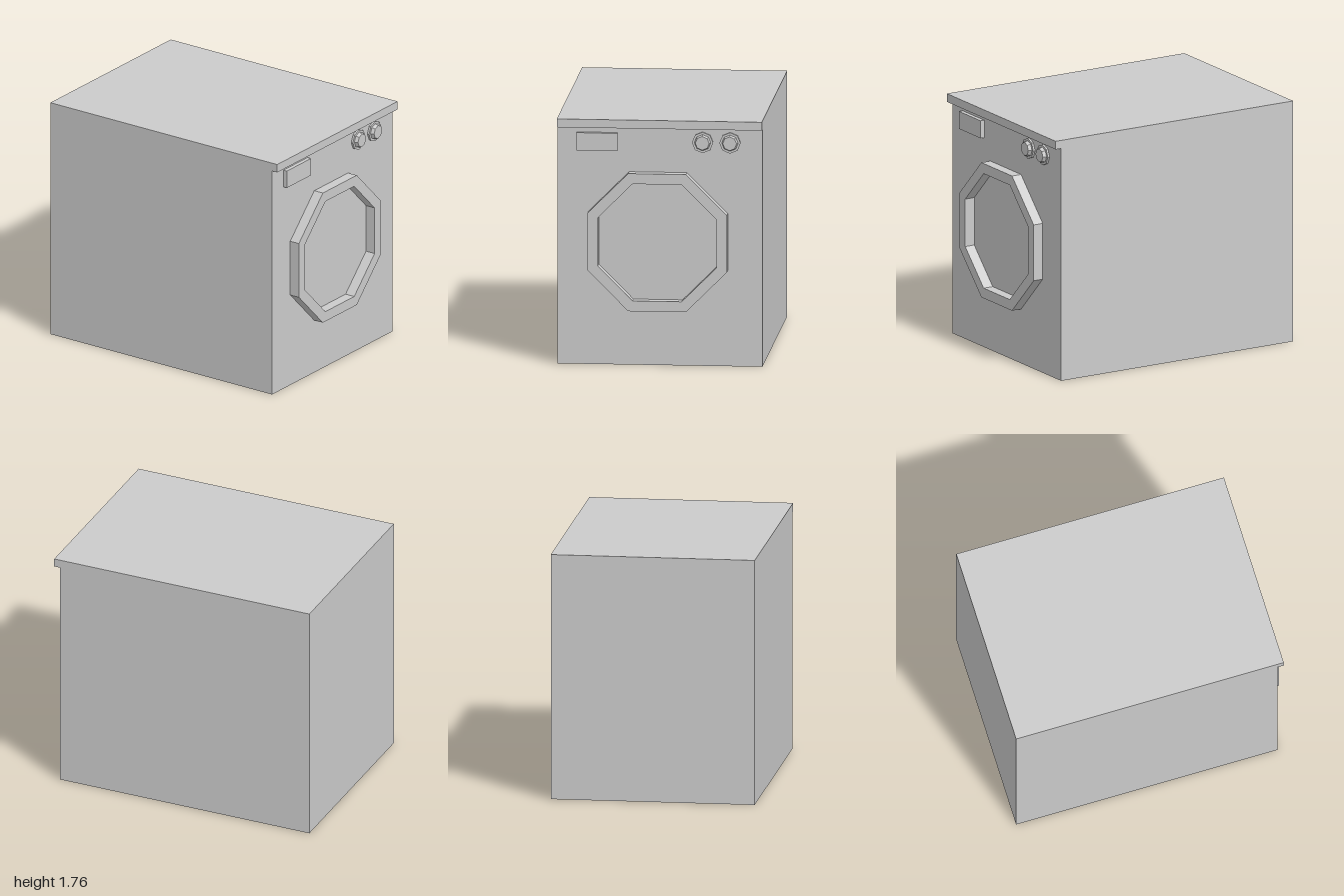
import * as THREE from 'three';

const material = new THREE.MeshStandardMaterial({ color: 0xcccccc, flatShading: true });
const FRONT = 0.925; // z of the cabinet's front face

function add(parent, name, geometry, x = 0, y = 0, z = 0) {
  const mesh = new THREE.Mesh(geometry, material);
  mesh.name = name;
  mesh.position.set(x, y, z);
  parent.add(mesh);
  return mesh;
}

// Regular octagon given by the distance from its centre to a flat side
function octagon(apothem) {
  const r = apothem / Math.cos(Math.PI / 8);
  return Array.from({ length: 8 }, (_, i) => {
    const a = (i + 0.5) * Math.PI / 4;
    return new THREE.Vector2(r * Math.cos(a), r * Math.sin(a));
  });
}

// Eight-sided disc facing +z, with its back at z = 0 and a corner at the top
function disc(backRadius, frontRadius, depth) {
  return new THREE.CylinderGeometry(frontRadius, backRadius, depth, 8)
    .rotateX(Math.PI / 2)
    .translate(0, 0, depth / 2);
}

export function createModel() {
  const washer = new THREE.Group();
  washer.name = 'washingMachine';

  // Cabinet: side profile (z, y) with the overhanging top lip, extruded across x
  const profile = new THREE.Shape([
    [-1, 0], [FRONT, 0], [FRONT, 1.7], [0.97, 1.7], [0.97, 1.76], [-1, 1.76],
  ].map(([z, y]) => new THREE.Vector2(z, y)));
  const width = 1.45;
  const cabinet = new THREE.ExtrudeGeometry(profile, { depth: width, bevelEnabled: false })
    .translate(0, 0, -width / 2)
    .rotateY(-Math.PI / 2);
  add(washer, 'cabinet', cabinet);

  // Door ring: octagonal frame, open to the cabinet front
  const ring = new THREE.Shape(octagon(0.493));
  ring.holes.push(new THREE.Path(octagon(0.419)));
  add(washer, 'doorRing',
    new THREE.ExtrudeGeometry(ring, { depth: 0.075, bevelEnabled: false }),
    -0.013, 0.889, FRONT);

  // Detergent drawer
  add(washer, 'detergentDrawer', new THREE.BoxGeometry(0.29, 0.128, 0.03),
    -0.443, 1.597, FRONT + 0.015);

  // Control knobs: flat base with a tapered grip
  for (const x of [0.303, 0.497]) {
    const knob = new THREE.Group();
    knob.name = 'controlKnob';
    knob.position.set(x, 1.601, FRONT);
    add(knob, 'knobBase', disc(0.075, 0.075, 0.015));
    add(knob, 'knobGrip', disc(0.058, 0.049, 0.025), 0, 0, 0.015);
    washer.add(knob);
  }

  return washer;
}
